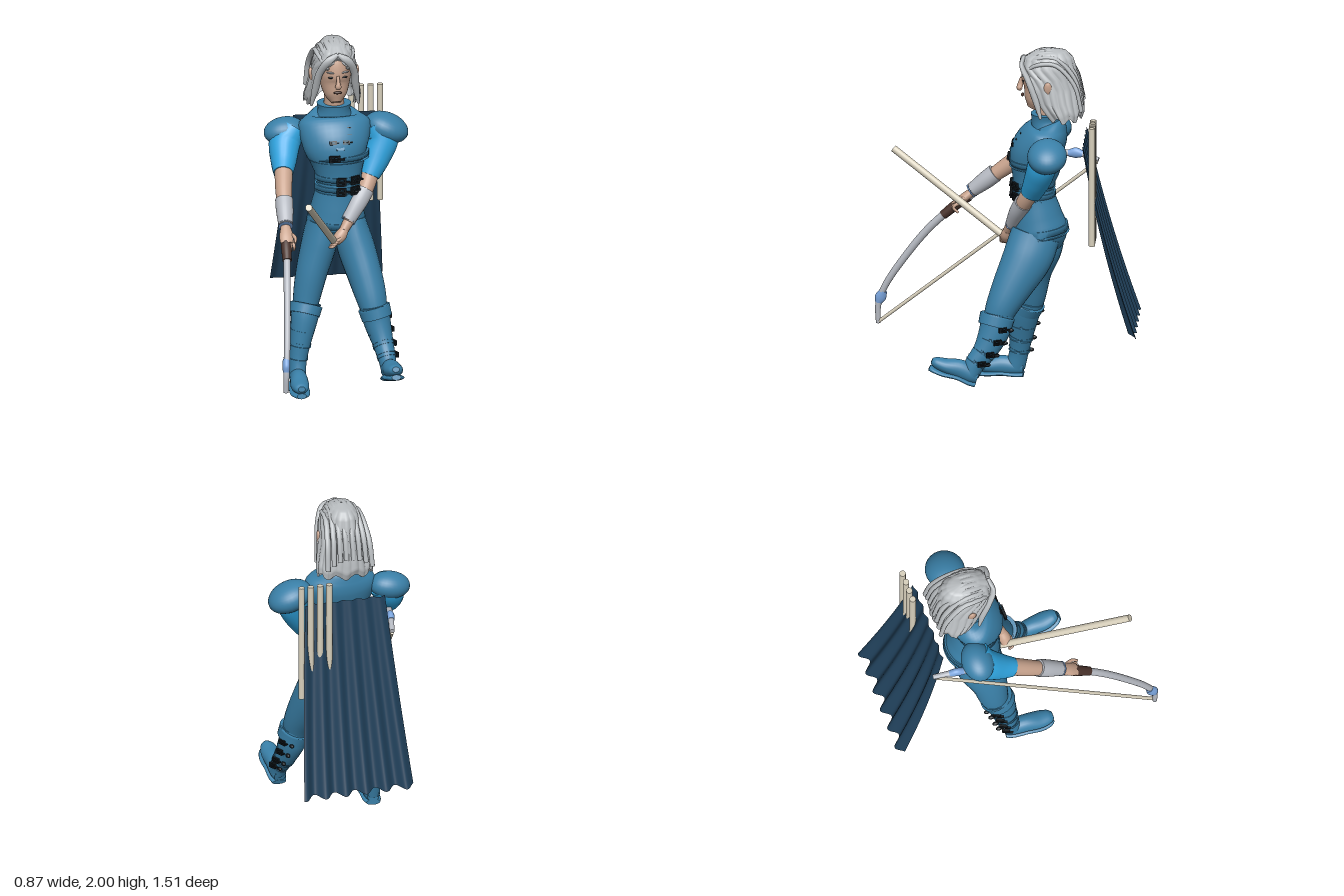
import * as THREE from 'three';

const V = (x, y, z) => new THREE.Vector3(x, y, z);
const paint = (name, color, side = THREE.FrontSide) => {
  const m = new THREE.MeshStandardMaterial({ color, side });
  m.name = name;
  return m;
};

// Lofted solid through rows of [x, y, z, halfWidth, halfDepth]; closed at both ends
function loft(rows, { seg = 24, steps = 5, ridge = 0, ridges = 8 } = {}) {
  const path = new THREE.CatmullRomCurve3(rows.map(r => V(r[0], r[1], r[2])), false, 'catmullrom');
  const size = new THREE.CatmullRomCurve3(rows.map(r => V(r[3], r[4], 0)), false, 'catmullrom');
  const n = (rows.length - 1) * steps, pos = [], idx = [];
  const ring = (t, k) => {
    const p = path.getPoint(t), s = size.getPoint(t), d = path.getTangent(t);
    const u = V(1, 0, 0).addScaledVector(d, -d.x).normalize(), v = d.clone().cross(u);
    for (let j = 0; j < seg; j++) {
      const a = j / seg * Math.PI * 2, q = k * (1 + ridge * Math.cos(a * ridges));
      pos.push(...p.clone().addScaledVector(u, Math.cos(a) * s.x * q).addScaledVector(v, Math.sin(a) * s.y * q).toArray());
    }
  };
  ring(0, 0); ring(0, 1);
  for (let i = 0; i <= n; i++) ring(i / n, 1);
  ring(1, 1); ring(1, 0);
  for (let i = 0; i < n + 4; i++) for (let j = 0; j < seg; j++) {
    const a = i * seg + j, b = i * seg + (j + 1) % seg;
    idx.push(a, b, b + seg, a, b + seg, a + seg);
  }
  return mesh3(pos, idx);
}
function mesh3(pos, idx) {
  const g = new THREE.BufferGeometry();
  g.setAttribute('position', new THREE.Float32BufferAttribute(pos, 3));
  g.setIndex(idx);
  g.computeVertexNormals();
  return g;
}
// Open sheet from f(u, v) -> [x, y, z]
function sheet(f, nu, nv) {
  const pos = [], idx = [];
  for (let i = 0; i <= nv; i++) for (let j = 0; j <= nu; j++) pos.push(...f(j / nu, i / nv));
  for (let i = 0; i < nv; i++) for (let j = 0; j < nu; j++) {
    const a = i * (nu + 1) + j, b = a + nu + 1;
    idx.push(a, b, a + 1, a + 1, b, b + 1);
  }
  return mesh3(pos, idx);
}
const rod = (a, b, r) => {
  const d = b.clone().sub(a), g = new THREE.CylinderGeometry(r, r, d.length(), 16);
  g.applyQuaternion(new THREE.Quaternion().setFromUnitVectors(V(0, 1, 0), d.normalize()));
  return g.translate(...a.clone().add(b).multiplyScalar(0.5).toArray());
};
const ball = (x, y, z, rx, ry, rz, tilt = 0) =>
  new THREE.SphereGeometry(1, 28, 18).scale(rx, ry, rz).rotateZ(tilt).translate(x, y, z);

export function createModel() {
  const root = new THREE.Group();
  root.name = 'archer';
  const blue = paint('steel blue', 0x3a80a8), sky = paint('bright blue', 0x2fa3de);
  const navy = paint('cape navy', 0x20405a, THREE.DoubleSide), hair = paint('silver', 0xb8bcbf, THREE.DoubleSide);
  const skin = paint('skin', 0xc9a48e), cream = paint('cream wood', 0xd8d0bc), brown = paint('dark brown', 0x4a332c);
  const black = paint('black', 0x10161a), pale = paint('pale blue', 0x7aa4dc), metal = paint('light grey', 0xb6bac2);
  const add = (name, geo, mat) => {
    const m = new THREE.Mesh(geo, mat);
    m.name = name;
    root.add(m);
    return m;
  };

  // Jacket, collar, belts and hem
  add('jacket', loft([[.01, .84, -.2, .1, .12], [.015, .93, -.2, .16, .155], [.02, 1.03, -.185, .148, .138], [.025, 1.18, -.165, .125, .112],
    [.02, 1.3, -.175, .155, .14], [.01, 1.4, -.185, .19, .15], [.01, 1.5, -.235, .205, .125], [.01, 1.55, -.25, .15, .1], [.01, 1.575, -.245, .085, .08]], { seg: 36 }), blue);
  add('collar', loft([[.01, 1.54, -.245, .105, .095], [.01, 1.585, -.24, .092, .088], [.01, 1.62, -.24, .098, .092]]), blue);
  for (const [y, z, rx, rz] of [[1.15, -.168, .134, .122], [1.21, -.166, .134, .122], [1.34, -.18, .177, .153]])
    add('beltBand', loft([[.022, y - .02, z, rx, rz], [.022, y + .02, z, rx, rz]], { seg: 36, steps: 2 }), blue);
  add('jacketHem', loft([[.016, .92, -.205, .17, .162], [.018, .97, -.2, .163, .158]], { seg: 36, steps: 2 }), blue);
  add('placket', new THREE.BoxGeometry(.045, .16, .015).rotateX(-.55).translate(.015, 1.47, -.077), blue);

  // Buckles: small black frames with a tongue
  const buckle = (x, y, z, w, h, ry = 0, rx = 0) => {
    const s = new THREE.Shape([[-w, -h], [w, -h], [w, h], [-w, h]].map(p => new THREE.Vector2(...p)));
    const k = .55;
    s.holes.push(new THREE.Path([[-w * k, -h * k], [-w * k, h * k], [w * k, h * k], [w * k, -h * k]].map(p => new THREE.Vector2(...p))));
    const frame = add('buckle', new THREE.ExtrudeGeometry(s, { depth: .014, bevelEnabled: false }), black);
    const tongue = new THREE.Mesh(new THREE.BoxGeometry(w * 2.6, h * .4, .014).translate(w * .5, 0, .01), black);
    tongue.name = 'buckleTongue';
    frame.add(tongue);
    frame.position.set(x, y, z);
    frame.rotation.set(rx, ry, 0, 'YXZ');
  };
  for (const y of [1.15, 1.21]) for (const x of [.02, .1]) buckle(x, y, x > .05 ? -.07 : -.046, .028, .024, x > .05 ? .5 : 0);
  buckle(-.02, 1.355, -.03, .032, .019);
  for (const y of [1.44, 1.475, 1.51]) for (const x of [-.025, .05]) buckle(x, y, -.055 - (y - 1.44) * .75, .02, .011, 0, -.5);

  // Head and face
  add('neck', loft([[.01, 1.56, -.25, .06, .065], [.01, 1.7, -.23, .055, .06]]), skin);
  add('head', loft([[.01, 1.648, -.16, .028, .035], [.01, 1.69, -.18, .062, .074], [.01, 1.76, -.21, .085, .109], [.01, 1.83, -.22, .094, .124],
    [.01, 1.9, -.22, .085, .11], [.01, 1.95, -.23, .04, .06]], { seg: 32 }), skin);
  add('nose', loft([[.01, 1.825, -.1, .009, .012], [.01, 1.79, -.09, .011, .016], [.01, 1.765, -.085, .018, .017], [.01, 1.755, -.095, .01, .008]], { seg: 14 }), skin);
  add('lips', ball(.01, 1.725, -.102, .025, .008, .009), brown);
  for (const s of [-1, 1]) {
    add('eye', ball(.01 + s * .038, 1.815, -.108, .017, .006, .006), black);
    add('eyebrow', ball(.01 + s * .04, 1.845, -.106, .026, .005, .008, s * .15), hair);
    add('ear', ball(.01 + s * .128, 1.79, -.25, .014, .045, .024, -s * .15), skin);
  }

  // Hair shell, open around the face: [y, centre z, half width, half depth, opening angle]
  const levels = [[2.0, -.26, .004, .004, 0], [1.985, -.26, .062, .09, 0], [1.95, -.25, .095, .135, 0], [1.9, -.245, .114, .155, .22],
    [1.84, -.25, .125, .165, .8], [1.78, -.265, .135, .167, .98], [1.7, -.3, .15, .145, .85], [1.65, -.325, .16, .125, .85], [1.61, -.34, .158, .095, .85]];
  const hairSheet = (scale, phase) => sheet((u, v) => {
    const f = v * (levels.length - 1), i = Math.min(Math.floor(f), levels.length - 2), t = f - i;
    const [y, zc, rx, rz, open] = levels[i].map((a, k) => a + (levels[i + 1][k] - a) * t);
    const a = open + u * (Math.PI * 2 - 2 * open);
    const k = scale * (1 + .055 * Math.min(1, v * 3) * (Math.abs(Math.sin(u * Math.PI * 15 + phase + v * 1.2)) - .5));
    return [.012 + Math.sin(a) * rx * k, y - v * v * .015 * Math.cos(u * 40), zc + Math.cos(a) * rz * k];
  }, 150, 32);
  add('hairOuter', hairSheet(1, 0), hair);
  add('hairInner', hairSheet(.93, 1.5), hair);
  // Front locks framing the face and swept strands over the crown
  for (const s of [-1, 1]) {
    add('frontLock', loft([[.01, 1.95, -.11, .012, .012], [.01 + s * .06, 1.91, -.1, .024, .014], [.01 + s * .1, 1.83, -.14, .021, .018],
      [.01 + s * .115, 1.73, -.18, .021, .02], [.01 + s * .135, 1.62, -.21, .008, .008]], { seg: 12 }), hair);
    for (let i = 0; i < 4; i++) {
      const x = s * (.015 + i * .026), h = 1.99 - i * i * .006;
      add('crownStrand', loft([[.01 + x * .6, h - .07, -.105, .01, .008], [.01 + x, h - .012, -.19, .017, .012],
        [.01 + x * 1.1, h - .014, -.3, .017, .012], [.01 + x * 1.3, h - .12, -.4, .016, .012], [.01 + x * 1.4, h - .27, -.44, .014, .012]], { seg: 10 }), hair);
    }
  }

  // Arms: shoulder plate, sleeve, forearm, bracer and hand
  add('rightShoulderPlate', ball(-.268, 1.455, -.275, .118, .077, .09, .15), blue);
  add('leftShoulderPlate', ball(.312, 1.45, -.255, .13, .082, .112, -.4), blue);
  add('rightSleeve', loft([[-.22, 1.47, -.27, .08, .08], [-.27, 1.4, -.24, .09, .09], [-.29, 1.32, -.16, .075, .08], [-.305, 1.27, -.08, .056, .06]]), sky);
  add('leftSleeve', loft([[.25, 1.48, -.25, .09, .08], [.285, 1.4, -.23, .092, .085], [.25, 1.3, -.2, .08, .078], [.2, 1.2, -.16, .058, .062]]), sky);
  add('rightForearm', loft([[-.3, 1.29, -.1, .052, .052], [-.32, 1.19, .03, .046, .046], [-.335, 1.06, .2, .03, .028]]), skin);
  add('leftForearm', loft([[.21, 1.23, -.17, .052, .05], [.16, 1.12, -.11, .045, .045], [.03, .93, -.02, .026, .028]]), skin);
  add('rightBracer', loft([[-.325, 1.165, .07, .05, .052], [-.33, 1.12, .125, .049, .05], [-.336, 1.06, .2, .041, .04]]), metal);
  add('leftBracer', loft([[.165, 1.135, -.115, .055, .052], [.12, 1.07, -.08, .052, .048], [.06, .98, -.045, .04, .038]]), metal);
  add('rightBracerTrim', loft([[-.336, 1.062, .197, .043, .043], [-.337, 1.055, .207, .042, .042]], { steps: 1 }), pale);
  add('leftBracerTrim', loft([[.062, .983, -.047, .043, .04], [.056, .974, -.043, .042, .039]], { steps: 1 }), pale);
  add('rightPalm', loft([[-.337, 1.05, .2, .027, .024], [-.34, 1.01, .25, .04, .025], [-.343, .98, .29, .036, .02]]), skin);
  add('leftPalm', loft([[.035, .935, -.022, .026, .026], [.01, .9, -.012, .034, .034], [-.02, .87, -.008, .028, .03]]), skin);
  for (let i = 0; i < 4; i++) {
    const x = -.365 + i * .019, d = i * .018;
    add('rightFinger', loft([[x, .99, .275, .009, .009], [x + .004, .965, .315 - d * .2, .009, .009], [x + .008, .935, .33 - d, .006, .006]], { seg: 10 }), skin);
    add('leftFinger', loft([[.015 - i * .01, .9 - i * .012, .012, .009, .009], [-.01 - i * .01, .885 - i * .012, .022, .009, .009], [-.035 - i * .006, .875 - i * .012, -.005, .007, .007]], { seg: 10 }), skin);
  }
  add('rightThumb', loft([[-.315, 1.02, .23, .011, .011], [-.295, 1.01, .28, .01, .01], [-.3, .99, .315, .006, .006]], { seg: 10 }), skin);

  // Legs and boots
  add('rightLeg', loft([[-.06, .93, -.2, .09, .14], [-.085, .8, -.185, .1, .135], [-.13, .65, -.155, .09, .105], [-.162, .5, -.14, .077, .085], [-.175, .4, -.12, .06, .07]]), blue);
  add('leftLeg', loft([[.09, .93, -.18, .09, .14], [.115, .8, -.135, .105, .14], [.155, .65, -.055, .098, .115], [.185, .52, .01, .085, .09], [.2, .4, .05, .06, .07]]), blue);
  const boots = [
    { name: 'right', s: -1, shaft: [[-.165, .47, -.125, .082, .09], [-.18, .39, -.105, .077, .085], [-.205, .26, -.085, .06, .068], [-.222, .15, -.07, .049, .055], [-.228, .06, -.05, .046, .055]],
      foot: [[-.225, .06, -.095, .034, .04], [-.228, .06, -.05, .046, .05], [-.234, .066, .03, .05, .056], [-.24, .06, .11, .052, .042], [-.242, .062, .165, .04, .03], [-.242, .066, .188, .02, .015]], drop: .042 },
    { name: 'left', s: 1, shaft: [[.195, .49, .03, .082, .092], [.21, .4, .045, .077, .088], [.235, .29, .095, .06, .07], [.25, .21, .155, .05, .058], [.257, .15, .18, .045, .05]],
      foot: [[.255, .135, .14, .034, .04], [.256, .15, .18, .046, .05], [.258, .18, .24, .05, .055], [.26, .2, .32, .054, .042], [.262, .22, .375, .04, .03], [.262, .23, .398, .02, .015]], drop: .042 }];
  for (const { name, s, shaft, foot, drop } of boots) {
    add(name + 'BootShaft', loft(shaft), blue);
    add(name + 'BootFoot', loft(foot), blue);
    add(name + 'BootSole', loft(foot.map(([x, y, z, a]) => [x, y - drop, z + (s > 0 ? .014 : 0), a + .006, .016])), blue);
    add(name + 'BootCuff', loft(shaft.slice(0, 2).map(([x, y, z, a, b], i) => [x, y - .01 + i * .03, z, a + .01, b + .008])), blue);
    const axis = new THREE.CatmullRomCurve3(shaft.map(r => V(r[0], r[1], r[2])));
    for (let i = 0; i < 4; i++) {
      const t = .2 + i * .17, p = axis.getPoint(t), r = .092 - t * .045, d = axis.getTangent(t).multiplyScalar(.01);
      add('bootStrap', loft([[p.x - d.x, p.y - d.y, p.z - d.z, r - .005, r + .003], [p.x + d.x, p.y + d.y, p.z + d.z, r - .006, r + .002]], { steps: 1 }), blue);
      buckle(p.x + s * r * .85, p.y, p.z - r * .5, .023, .015, s * 2.05);
      add('strapEnd', ball(p.x + s * r * .4, p.y - .012, p.z - r * 1.02, .012, .012, .02), black);
    }
  }

  // Bow with grip, painted tips and string
  add('lowerLimb', loft([[-.352, .93, .34, .02, .022], [-.368, .82, .45, .02, .022], [-.385, .68, .56, .019, .021], [-.405, .5, .68, .018, .019], [-.417, .37, .732, .017, .017], [-.42, .25, .735, .015, .013]]), metal);
  add('upperLimb', loft([[-.345, 1.0, .24, .02, .022], [-.33, 1.12, .1, .02, .022], [-.305, 1.22, -.06, .019, .021], [-.27, 1.295, -.24, .018, .019], [-.238, 1.312, -.4, .017, .017], [-.212, 1.285, -.52, .014, .012]]), metal);
  add('bowGrip', loft([[-.343, 1.02, .22, .027, .027], [-.348, .97, .29, .03, .029], [-.354, .905, .365, .026, .026]]), brown);
  add('lowerTipWrap', loft([[-.413, .44, .705, .02, .022], [-.417, .4, .722, .022, .032], [-.418, .37, .735, .018, .02]]), pale);
  add('upperTipWrap', loft([[-.247, 1.31, -.35, .02, .02], [-.24, 1.315, -.39, .022, .03], [-.233, 1.31, -.43, .018, .018]]), pale);
  add('bowString', rod(V(-.415, .26, .73), V(-.215, 1.27, -.51), .01), cream);

  // Held arrow shaft and the row of spares on the back
  add('heldArrow', rod(V(-.275, 1.315, .64), V(-.015, .85, -.04), .02), cream);
  for (const x of [.153, .207, .262, .316]) add('spareArrow', rod(V(x, .93, -.508), V(x, 1.62, -.508), .018), cream);

  // Pleated cape, widening and sweeping back toward the hem
  add('cape', sheet((u, v) => {
    const wave = (.006 + .018 * v) * Math.cos(u * Math.PI * 11 + .6);
    return [.045 + (u - .5) * (.47 + .18 * v), 1.48 - 1.07 * v + wave * .3, -.455 - .2 * v - .08 * v * v + wave];
  }, 110, 24), navy);

  return root;
}
